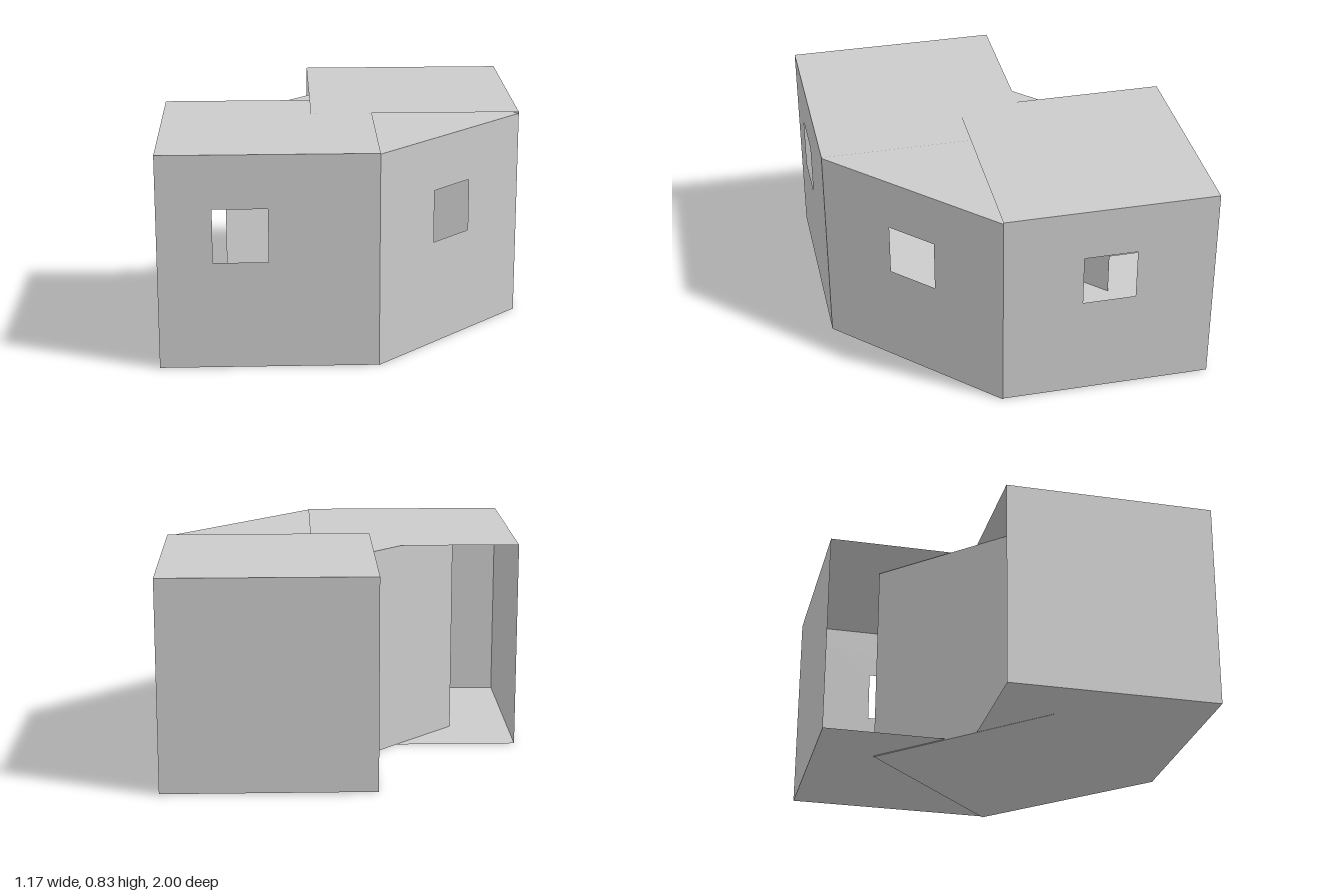
import * as THREE from 'three';

const SIZE = 2 * (Math.SQRT2 - 1); // side of each square room
const HALF = SIZE / 2;
const WINDOW = SIZE / 4;

const material = new THREE.MeshStandardMaterial({
  color: 0xcccccc, side: THREE.DoubleSide, flatShading: true,
});

function addMesh(parent, name, geometry) {
  const mesh = new THREE.Mesh(geometry, material);
  mesh.name = name;
  parent.add(mesh);
  return mesh;
}

// Thin wall on the room side facing the given angle (0 = local +z)
function addWall(room, name, angle, height, windowX = null) {
  const shape = new THREE.Shape([
    new THREE.Vector2(-HALF, 0), new THREE.Vector2(HALF, 0),
    new THREE.Vector2(HALF, height), new THREE.Vector2(-HALF, height),
  ]);
  if (windowX !== null) {
    const x0 = windowX - WINDOW / 2, x1 = windowX + WINDOW / 2;
    const y0 = height / 2, y1 = y0 + WINDOW;
    shape.holes.push(new THREE.Path([
      new THREE.Vector2(x0, y0), new THREE.Vector2(x0, y1),
      new THREE.Vector2(x1, y1), new THREE.Vector2(x1, y0),
    ]));
  }
  const geometry = new THREE.ShapeGeometry(shape);
  geometry.translate(0, 0, HALF);
  geometry.rotateY(angle);
  addMesh(room, name, geometry);
}

// Square room: floor, ceiling, window wall and one plain wall, other sides open
function makeRoom({ name, x, z, turn, plainWall, windowX, bottom, top }) {
  const room = new THREE.Group();
  room.name = name;
  const height = top - bottom;
  addMesh(room, 'floor', new THREE.PlaneGeometry(SIZE, SIZE).rotateX(Math.PI / 2));
  addMesh(room, 'ceiling', new THREE.PlaneGeometry(SIZE, SIZE).rotateX(-Math.PI / 2)).position.y = height;
  addWall(room, 'windowWall', 0, height, windowX);
  addWall(room, 'plainWall', plainWall, height);
  room.position.set(x, bottom, z);
  room.rotation.y = turn;
  return room;
}

export function createModel() {
  const model = new THREE.Group();
  model.name = 'threeRoomBuilding';
  const quarter = Math.PI / 2;
  const rooms = [
    // Front room, turned 45 degrees, with its window off centre
    { name: 'frontRoom', x: 0, z: HALF, turn: quarter / 2, plainWall: -quarter,
      windowX: -SIZE / 8, bottom: 0.001, top: 0.831 },
    // Middle room joins the other two
    { name: 'middleRoom', x: 1 - SIZE, z: 0, turn: quarter, plainWall: Math.PI,
      windowX: 0, bottom: 0, top: 0.828 },
    // Back room, turned the other way
    { name: 'backRoom', x: 0, z: -HALF, turn: quarter * 1.5, plainWall: quarter,
      windowX: 0, bottom: 0.004, top: 0.834 },
  ];
  for (const room of rooms) model.add(makeRoom(room));
  return model;
}
